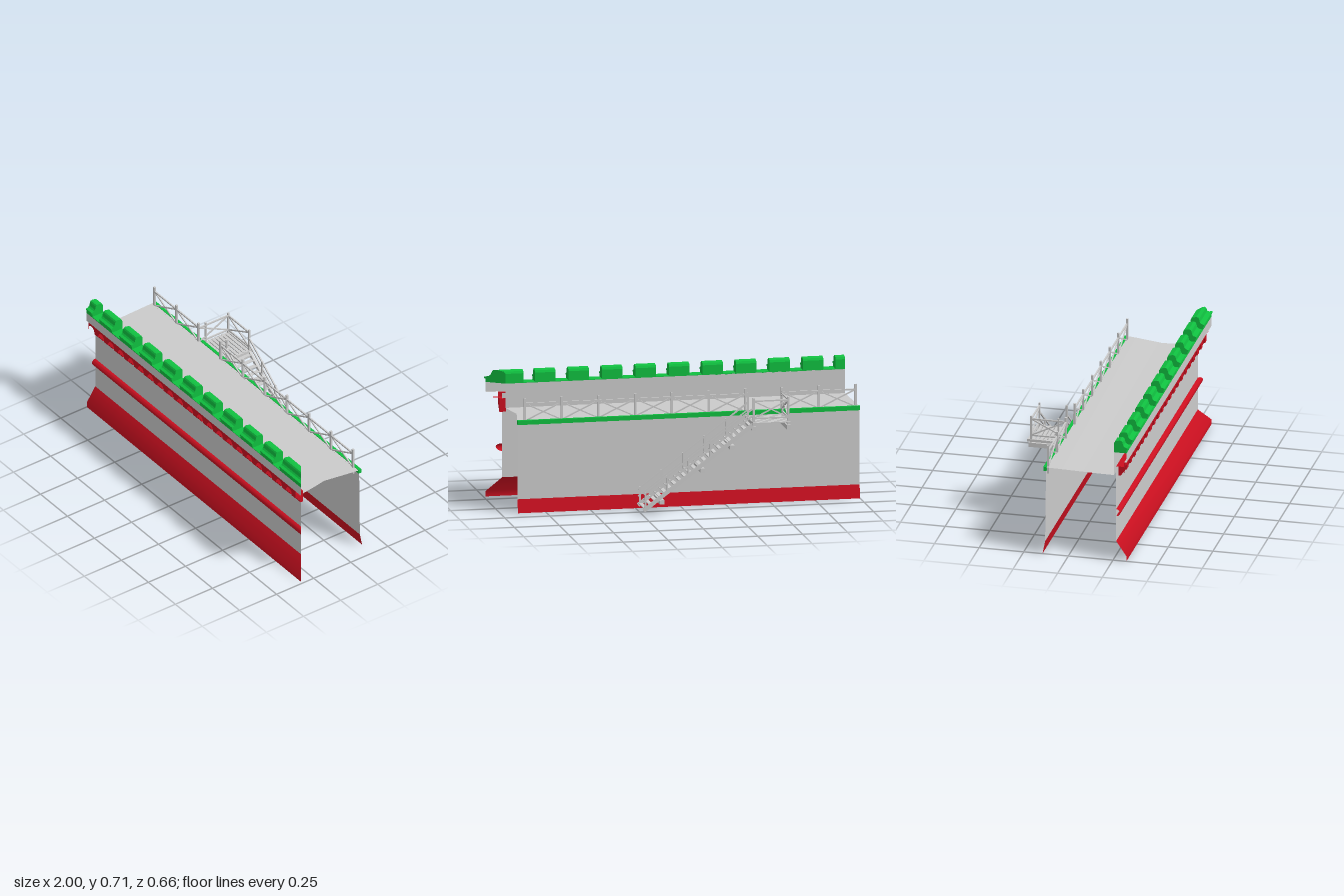
import * as THREE from 'three';
import { toCreasedNormals } from 'three/addons/utils/BufferGeometryUtils.js';

const mat = (color) => new THREE.MeshStandardMaterial({ color, side: THREE.DoubleSide });
const GREY = mat(0xcccccc), RED = mat(0xcc1020), GREEN = mat(0x10c040);

// The +x end of the wall is cut obliquely in front and bowed across the walkway
function endX(z) {
  if (z > 0.25) return 0.89 + 1.4 * (z - 0.256);
  if (z > 0.08) return 0.865 + 0.025 * (z - 0.08) / 0.17;
  return 0.865 + 0.04 * Math.min(1, (0.08 - z) / 0.2);
}

// Thin skin: a [z, y] profile swept from x = -1 to the cut end
function skin(name, profile, material) {
  const pos = [];
  for (let i = 0; i < profile.length - 1; i++) {
    const [z0, y0] = profile[i], [z1, y1] = profile[i + 1];
    const e0 = endX(z0), e1 = endX(z1);
    pos.push(-1, y0, z0, -1, y1, z1, e1, y1, z1, -1, y0, z0, e1, y1, z1, e0, y0, z0);
  }
  const g = new THREE.BufferGeometry();
  g.setAttribute('position', new THREE.Float32BufferAttribute(pos, 3));
  g.computeVertexNormals();
  return named(name, toCreasedNormals(g, 0.7), material);
}

function named(name, geometry, material) {
  const m = new THREE.Mesh(geometry, material);
  m.name = name;
  return m;
}

// Solid: a [z, y] profile extruded from x0 to x1
function solid(name, profile, x0, x1, material) {
  const shape = new THREE.Shape(profile.map(([z, y]) => new THREE.Vector2(-z, y)));
  const g = new THREE.ExtrudeGeometry(shape, { depth: x1 - x0, bevelEnabled: false });
  g.rotateY(Math.PI / 2).translate(x0, 0, 0);
  return named(name, g, material);
}

// Square timber between two points
function bar(name, a, b, w = 0.01, h = w) {
  const A = new THREE.Vector3(...a), B = new THREE.Vector3(...b);
  const m = named(name, new THREE.BoxGeometry(w, h, A.distanceTo(B)), GREY);
  m.position.copy(A).lerp(B, 0.5);
  m.lookAt(B);
  return m;
}

// Rails and crossed braces between two post positions [x, z]
function railPanel([x0, z0], [x1, z1]) {
  const g = new THREE.Group();
  g.name = 'railPanel';
  const lo = 0.507, hi = 0.603;
  g.add(bar('topRail', [x0, hi, z0], [x1, hi, z1], 0.008));
  g.add(bar('bottomRail', [x0, lo, z0], [x1, lo, z1], 0.008));
  g.add(bar('brace', [x0, lo, z0], [x1, hi, z1], 0.007));
  g.add(bar('brace', [x0, hi, z0], [x1, lo, z1], 0.007));
  return g;
}

function buildWalls() {
  const g = new THREE.Group();
  g.name = 'walls';
  g.add(skin('frontWall', [[0.268, 0.115], [0.268, 0.583]], GREY));
  g.add(skin('frontPlinth', [[0.268, 0.115], [0.325, 0.03], [0.325, 0]], RED));
  const band = [];
  for (let i = 0; i <= 8; i++) {
    const t = -Math.PI / 2 + Math.PI * i / 8;
    band.push([0.268 + 0.022 * Math.cos(t), 0.282 + 0.021 * Math.sin(t)]);
  }
  g.add(skin('stringCourse', band, RED));
  g.add(skin('parapet', [[0.313, 0.583], [0.326, 0.583], [0.326, 0.638], [0.256, 0.638], [0.256, 0.503]], GREY));
  g.add(skin('walkway', [[0.256, 0.503], [0.17, 0.504], [0.08, 0.506], [0, 0.508], [-0.07, 0.51], [-0.13, 0.511]], GREY));
  g.add(skin('rearWall', [[-0.125, 0.511], [-0.13, 0.075]], GREY));
  g.add(skin('rearPlinth', [[-0.13, 0.075], [-0.145, 0]], RED));
  g.add(solid('rearCoping', [[-0.122, 0.49], [-0.14, 0.49], [-0.14, 0.514], [-0.122, 0.514]], -1, 0.905, GREEN));
  return g;
}

function buildMachicolation() {
  const g = new THREE.Group();
  g.name = 'machicolation';
  const step = 0.0915, r = 0.0275, last = 0.857;
  // Fascia with a row of round arches cut from its lower edge
  const s = new THREE.Shape();
  s.moveTo(-1, 0.583);
  s.lineTo(-1, 0.52);
  for (let k = 20; k >= 0; k--) {
    const c = last - k * step;
    if (c - r > -1) s.lineTo(c - r, 0.52);
    s.lineTo(Math.max(c - r, -1), 0.528);
    s.absarc(c, 0.528, r, Math.PI, 0, true);
    s.lineTo(c + r, 0.52);
  }
  s.lineTo(0.92, 0.52);
  s.lineTo(0.92, 0.583);
  const fascia = new THREE.ExtrudeGeometry(s, { depth: 0.003, bevelEnabled: false, curveSegments: 8 });
  fascia.translate(0, 0, 0.311);
  g.add(named('archFascia', fascia, RED));
  g.add(skin('archCeiling', [[0.268, 0.556], [0.312, 0.556]], RED));
  // Stepped corbels between the arches
  const profile = [[0.266, 0.555], [0.314, 0.555], [0.314, 0.522], [0.302, 0.517], [0.298, 0.502],
    [0.287, 0.497], [0.284, 0.484], [0.278, 0.48], [0.266, 0.48]];
  for (let k = 0; k <= 20; k++) {
    const c = last + step / 2 - k * step;
    g.add(solid('corbel', profile, c - 0.0183, c + 0.0183, RED));
  }
  return g;
}

function buildMerlons() {
  const g = new THREE.Group();
  g.name = 'merlons';
  g.add(skin('coping', [[0.326, 0.636], [0.326, 0.641], [0.256, 0.641], [0.256, 0.636]], GREEN));
  const profile = [[0.326, 0.638], [0.326, 0.656], [0.331, 0.66], [0.33, 0.667], [0.315, 0.672], [0.308, 0.68],
    [0.303, 0.7], [0.298, 0.708], [0.288, 0.71], [0.262, 0.704], [0.256, 0.692], [0.256, 0.638]];
  g.add(solid('merlon', profile, -1, -0.947, GREEN));
  for (let i = 0; i < 9; i++) {
    const c = -0.823 + i * 0.1865;
    g.add(solid('merlon', profile, c - 0.057, c + 0.057, GREEN));
  }
  // The last merlon follows the oblique end of the wall
  const end = solid('endMerlon', profile, 0.79, 0.9, GREEN);
  const p = end.geometry.attributes.position;
  for (let i = 0; i < p.count; i++) if (p.getX(i) > 0.85) p.setX(i, endX(p.getZ(i)));
  end.geometry.computeVertexNormals();
  g.add(end);
  return g;
}

function buildFence() {
  const g = new THREE.Group();
  g.name = 'rearFence';
  const z = -0.117;
  for (let i = 0; i < 10; i++) {
    const x = -0.98 + i * 0.2045;
    g.add(bar('fencePost', [x, 0.47, z], [x, 0.632, z], 0.012));
    // One bay stays open for the stair landing
    if (i < 9 && i !== 2) g.add(railPanel([x, z], [x + 0.2045, z]));
  }
  return g;
}

function buildStairs() {
  const g = new THREE.Group();
  g.name = 'stairs';
  const zIn = -0.16, zOut = -0.312, xl = -0.565, xr = -0.372;
  // Landing
  for (const x of [xl, xr]) {
    g.add(bar('landingBeam', [x, 0.477, -0.12], [x, 0.477, -0.333], 0.016, 0.014));
    g.add(bar('landingBracket', [x, 0.453, -0.08], [x, 0.453, -0.325], 0.022, 0.025));
  }
  for (let i = 0; i < 9; i++) {
    const z = -0.145 - i * 0.0222;
    g.add(bar('landingPlank', [-0.575, 0.483, z], [-0.365, 0.483, z], 0.016, 0.006));
  }
  for (const [x, z] of [[xl, zIn], [xl, zOut], [xr, zIn], [xr, zOut]])
    g.add(bar('landingPost', [x, 0.45, z], [x, 0.62, z], 0.01));
  g.add(railPanel([xl, -0.117], [xl, zOut]));
  g.add(railPanel([xl, zOut], [xr, zOut]));

  // Flight: stringers, treads, handrails
  const x0 = -0.372, x1 = 0.24, y0 = 0.475, y1 = 0.02;
  const yAt = (x) => y0 + (y1 - y0) * (x - x0) / (x1 - x0);
  for (const z of [zIn, zOut]) {
    g.add(bar('stringer', [x0, y0, z], [x1, y1, z], 0.014, 0.02));
    g.add(bar('handrail', [x0, y0 + 0.09, z], [x1, y1 + 0.09, z], 0.008));
    g.add(bar('midRail', [x0, y0 + 0.05, z], [x1, y1 + 0.05, z], 0.007));
    for (const x of [-0.25, -0.13, -0.01, 0.11, 0.23])
      g.add(bar('railPost', [x, yAt(x) - 0.01, z], [x, yAt(x) + 0.095, z], 0.009));
  }
  for (let i = 0; i < 22; i++) {
    const x = x0 + (i + 0.5) * (x1 - x0) / 22;
    g.add(bar('tread', [x, yAt(x), zIn], [x, yAt(x), zOut], 0.023, 0.004));
  }
  // Brackets projecting from the wall below the flight
  for (const [x, y] of [[-0.25, 0.353], [-0.086, 0.231], [0.14, 0.065]])
    g.add(bar('stairBracket', [x, y, -0.08], [x, y, -0.325], 0.024, 0.024));
  return g;
}

export function createModel() {
  const model = new THREE.Group();
  model.name = 'fortressWall';
  model.add(buildWalls(), buildMachicolation(), buildMerlons(), buildFence(), buildStairs());
  return model;
}
